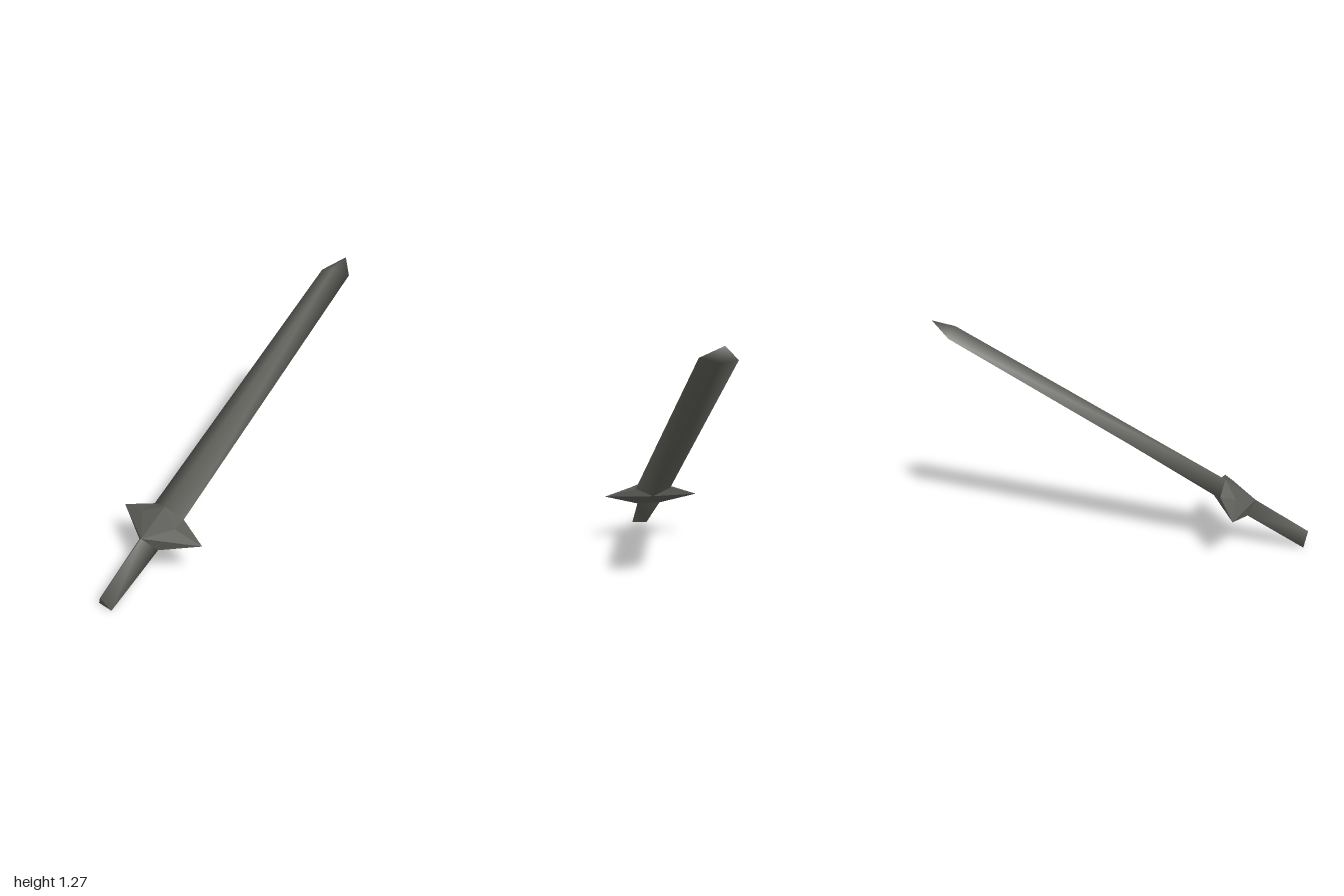
import * as THREE from 'three';

// Sword lies along local y (pommel to tip); local z is the upper side, x the width.
const steel = new THREE.MeshStandardMaterial({ color: 0x5a5a55 });
steel.name = 'dark steel';

// Closed faceted shell; every triangle is turned to face away from the centre point.
function shell(name, points, triangles, centre, smooth) {
  const v = points.map((p) => new THREE.Vector3(...p));
  const c = new THREE.Vector3(...centre);
  const index = [];
  for (const [i, j, k] of triangles) {
    const n = v[j].clone().sub(v[i]).cross(v[k].clone().sub(v[i]));
    if (n.dot(v[i].clone().sub(c)) >= 0) index.push(i, j, k);
    else index.push(i, k, j);
  }
  let geometry = new THREE.BufferGeometry().setFromPoints(v);
  geometry.setIndex(index);
  if (!smooth) geometry = geometry.toNonIndexed();
  geometry.computeVertexNormals();
  const mesh = new THREE.Mesh(geometry, steel);
  mesh.name = name;
  return mesh;
}

// Triangles joining two rings of n points, starting at index 0 and n
function band(n) {
  const tris = [];
  for (let i = 0; i < n; i++) {
    const j = (i + 1) % n;
    tris.push([i, j, n + i], [j, n + j, n + i]);
  }
  return tris;
}

export function createModel() {
  const group = new THREE.Group();
  group.name = 'sword';

  // Sections shared between neighbouring parts
  const gripTop = [[-0.01, 0.37, 0.043], [0.062, 0.375, -0.035], [-0.075, 0.375, -0.035]];
  const bladeBase = [[0, 0.573, 0.052], [0.1, 0.573, -0.01], [0, 0.574, -0.06], [-0.11, 0.573, -0.01]];

  // Grip: tapered triangular prism with a flat end
  const gripEnd = [[-0.008, 0.013, 0.039], [0.04, -0.003, -0.038], [-0.053, -0.005, -0.042]];
  const gripCentre = [-0.008, 0.19, -0.01];
  group.add(shell('grip', [...gripEnd, ...gripTop], band(3), gripCentre, true));
  group.add(shell('pommel', gripEnd, [[0, 1, 2]], gripCentre, false));

  // Blade: tapered diamond section running into a point
  const bladeEnd = [[-0.02, 2.222, 0.035], [0.07, 2.23, -0.002], [-0.02, 2.23, -0.03], [-0.11, 2.218, -0.01]];
  const tip = [-0.02, 2.338, -0.003];
  const point = [0, 1, 2, 3].map((i) => [4 + i, 4 + (i + 1) % 4, 8]);
  group.add(shell('blade', [...bladeBase, ...bladeEnd, tip], [...band(4), ...point], [-0.01, 1.4, 0], true));

  // Guard: grip section flaring to the blade section, with a pointed arm on each side
  const points = [
    ...gripTop, ...bladeBase,
    [0.115, 0.5, 0.028], [0.275, 0.503, -0.024],
    [-0.12, 0.5, 0.028], [-0.28, 0.494, -0.03],
  ];
  const [ridge, top, bottom] = [0, 3, 5];
  const faces = [[1, 2, bottom]];
  for (const [corner, side, root, arm] of [[1, 4, 7, 8], [2, 6, 9, 10]]) {
    faces.push(
      [ridge, root, top], [ridge, arm, root], [ridge, corner, arm], [corner, bottom, arm],
      [arm, bottom, side], [arm, side, root], [root, side, top],
    );
  }
  group.add(shell('guard', points, faces, [0, 0.47, -0.01], false));

  // Lean the sword back from the pommel
  group.rotation.x = -1.016;
  group.position.set(0, 0.04, 0.99);
  const model = new THREE.Group();
  model.name = 'leaningSword';
  model.add(group);
  return model;
}
